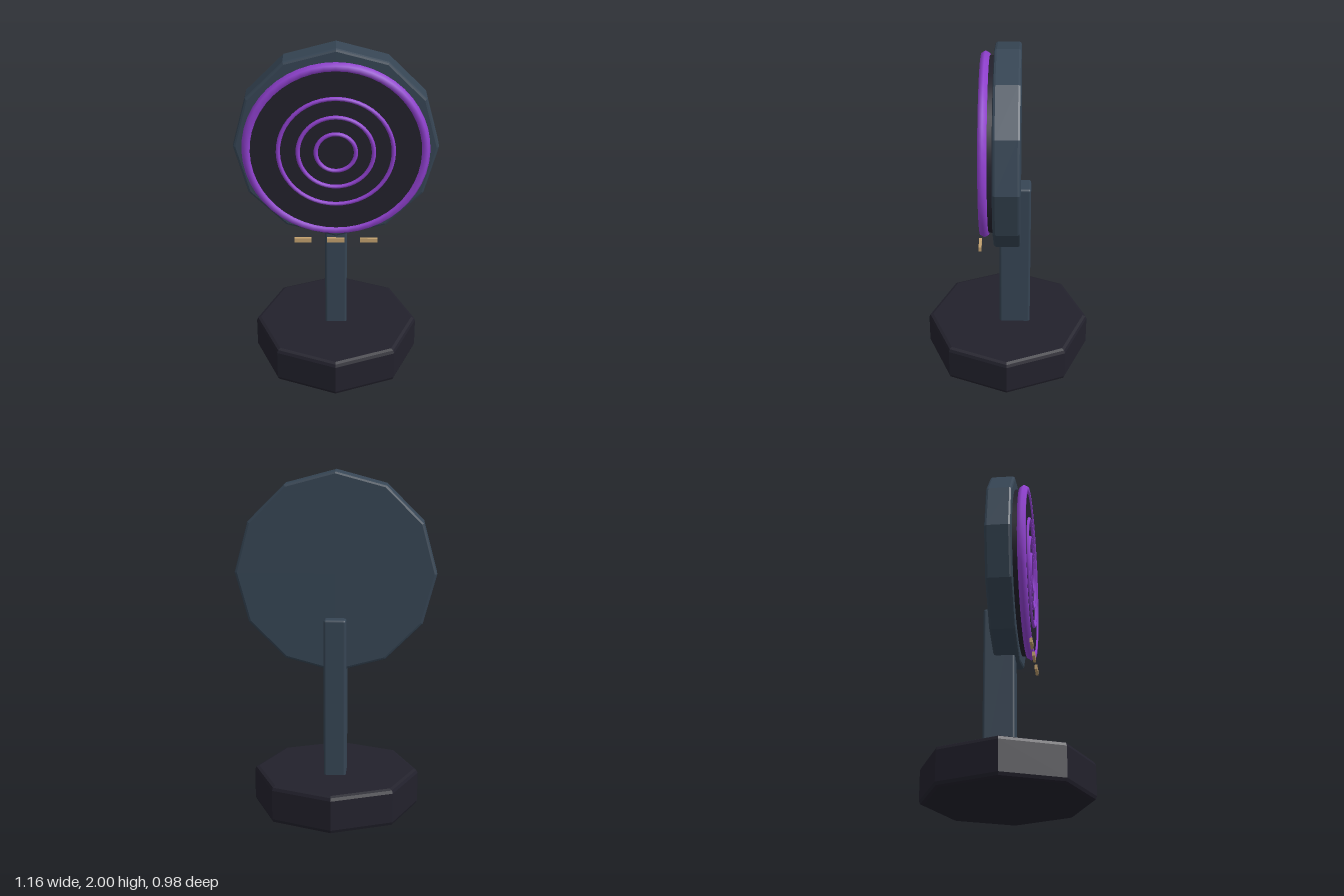
import * as THREE from 'three';
import { RoundedBoxGeometry } from 'three/addons/geometries/RoundedBoxGeometry.js';

// Solid prism with bevelled rims, standing on y = 0, flat-shaded facets
function bevelledPrism(radius, height, sides, bevel) {
  const b = bevel * 0.3;
  const profile = [
    [0, 0], [radius - bevel, 0], [radius - b, b], [radius, bevel],
    [radius, height - bevel], [radius - b, height - b], [radius - bevel, height], [0, height],
  ].map(([x, y]) => new THREE.Vector2(x, y));
  const geometry = new THREE.LatheGeometry(profile, sides).toNonIndexed();
  geometry.computeVertexNormals();
  return geometry;
}

export function createModel() {
  const model = new THREE.Group();
  const slate = new THREE.MeshStandardMaterial({ name: 'slate', color: 0x364554 });
  const charcoal = new THREE.MeshStandardMaterial({ name: 'charcoal', color: 0x22212c });
  const purple = new THREE.MeshStandardMaterial({ name: 'purple', color: 0x9141d1 });
  const tan = new THREE.MeshStandardMaterial({ name: 'tan', color: 0xc2a06e });

  const add = (name, geometry, material, x, y, z) => {
    const mesh = new THREE.Mesh(geometry, material);
    mesh.name = name;
    mesh.position.set(x, y, z);
    model.add(mesh);
    return mesh;
  };

  const centreY = 1.42;

  // Octagonal foot and upright post
  add('base', bevelledPrism(0.49, 0.225, 8, 0.025), charcoal, 0, 0, 0);
  add('post', new RoundedBoxGeometry(0.13, 0.98, 0.185, 2, 0.015), slate, 0, 0.67, -0.0425);

  // Twelve-sided housing, turned to face the front
  const housing = add('housing', bevelledPrism(0.58, 0.15, 12, 0.015), slate, 0, centreY, -0.075);
  housing.rotation.x = Math.PI / 2;

  // Dark front panel
  const panel = add('panel', new THREE.CylinderGeometry(0.5, 0.5, 0.072, 48), charcoal, 0, centreY, 0.106);
  panel.rotation.x = Math.PI / 2;

  // Outer rim and three concentric rings
  add('rim', new THREE.TorusGeometry(0.498, 0.028, 6, 48), purple, 0, centreY, 0.127);
  for (const radius of [0.112, 0.212, 0.322]) {
    add('ring', new THREE.TorusGeometry(radius, 0.012, 6, 48), purple, 0, centreY, 0.146);
  }

  // Small bars below the rim
  for (const x of [-0.19, 0, 0.19]) {
    add('bar', new THREE.BoxGeometry(0.1, 0.026, 0.016), tan, x, 0.866, 0.156);
  }
  return model;
}
